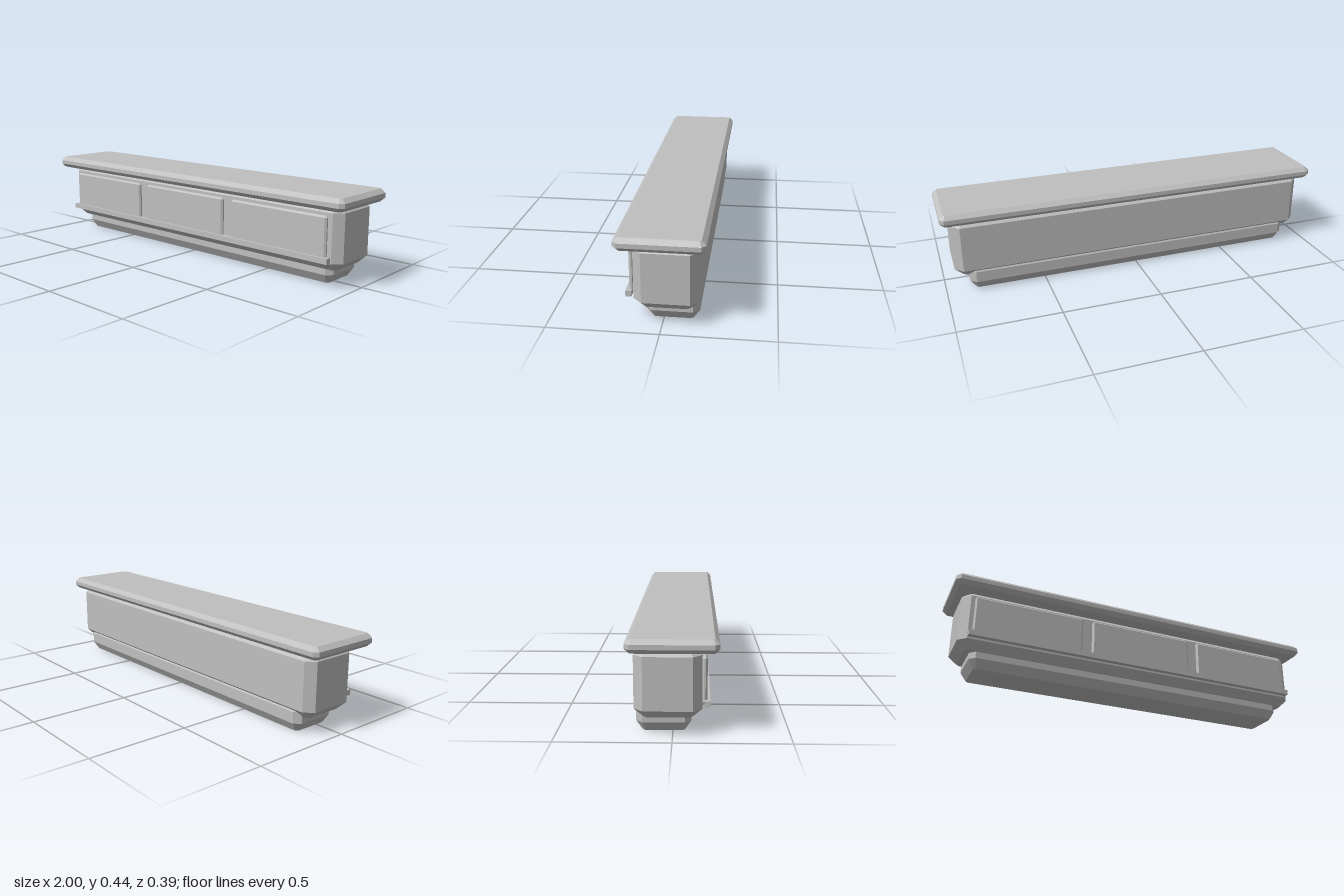
import * as THREE from 'three';

// Closed solid from rings of corner points listed bottom to top
function loft(rings) {
  const pos = [];
  const tri = (a, b, c) => pos.push(...a, ...b, ...c);
  const n = rings[0].length;
  for (let r = 0; r < rings.length - 1; r++) {
    for (let i = 0; i < n; i++) {
      const j = (i + 1) % n, lo = rings[r], hi = rings[r + 1];
      tri(lo[i], hi[i], hi[j]);
      tri(lo[i], hi[j], lo[j]);
    }
  }
  const bottom = rings[0], top = rings[rings.length - 1];
  for (let i = 1; i < n - 1; i++) {
    tri(bottom[0], bottom[i], bottom[i + 1]);
    tri(top[0], top[i + 1], top[i]);
  }
  const geo = new THREE.BufferGeometry();
  geo.setAttribute('position', new THREE.Float32BufferAttribute(pos, 3));
  geo.computeVertexNormals();
  return geo;
}

// Rectangle with cut corners at height y, running from +x towards +z
function octagon(hx, hz, cut, y) {
  return [
    [hx, y, -hz + cut], [hx, y, hz - cut], [hx - cut, y, hz], [-hx + cut, y, hz],
    [-hx, y, hz - cut], [-hx, y, -hz + cut], [-hx + cut, y, -hz], [hx - cut, y, -hz],
  ];
}

// Box with every edge bevelled: the ends shrink by `inset` over height `rise`
function bevelBox(width, height, depth, inset, rise = inset) {
  const hx = width / 2, hz = depth / 2, endCut = inset * 0.4;
  return loft([
    octagon(hx - inset, hz - inset, endCut, 0),
    octagon(hx, hz, inset, rise),
    octagon(hx, hz, inset, height - rise),
    octagon(hx - inset, hz - inset, endCut, height),
  ]);
}

export function createModel() {
  const model = new THREE.Group();
  model.name = 'counter';
  const grey = new THREE.MeshStandardMaterial({ color: 0xbfbfbf });
  grey.name = 'grey';

  const add = (name, geometry, x, y, z) => {
    const mesh = new THREE.Mesh(geometry, grey);
    mesh.name = name;
    mesh.position.set(x, y, z);
    model.add(mesh);
  };

  // Plinth, main body and overhanging worktop
  add('plinth', bevelBox(1.76, 0.145, 0.238, 0.028, 0.045), 0, 0, -0.04);
  add('body', bevelBox(1.9, 0.314, 0.29, 0.04), 0, 0.078, -0.02);
  add('worktop', bevelBox(2, 0.061, 0.39, 0.02), 0, 0.374, 0);

  // Three raised panels on the front
  const panel = bevelBox(0.558, 0.21, 0.023, 0.008);
  for (const x of [-0.612, 0, 0.612]) add('frontPanel', panel, x, 0.13, 0.1355);

  // Rail along the foot of the panels
  add('frontRail', new THREE.BoxGeometry(1.82, 0.027, 0.027), 0, 0.137, 0.147);

  return model;
}
